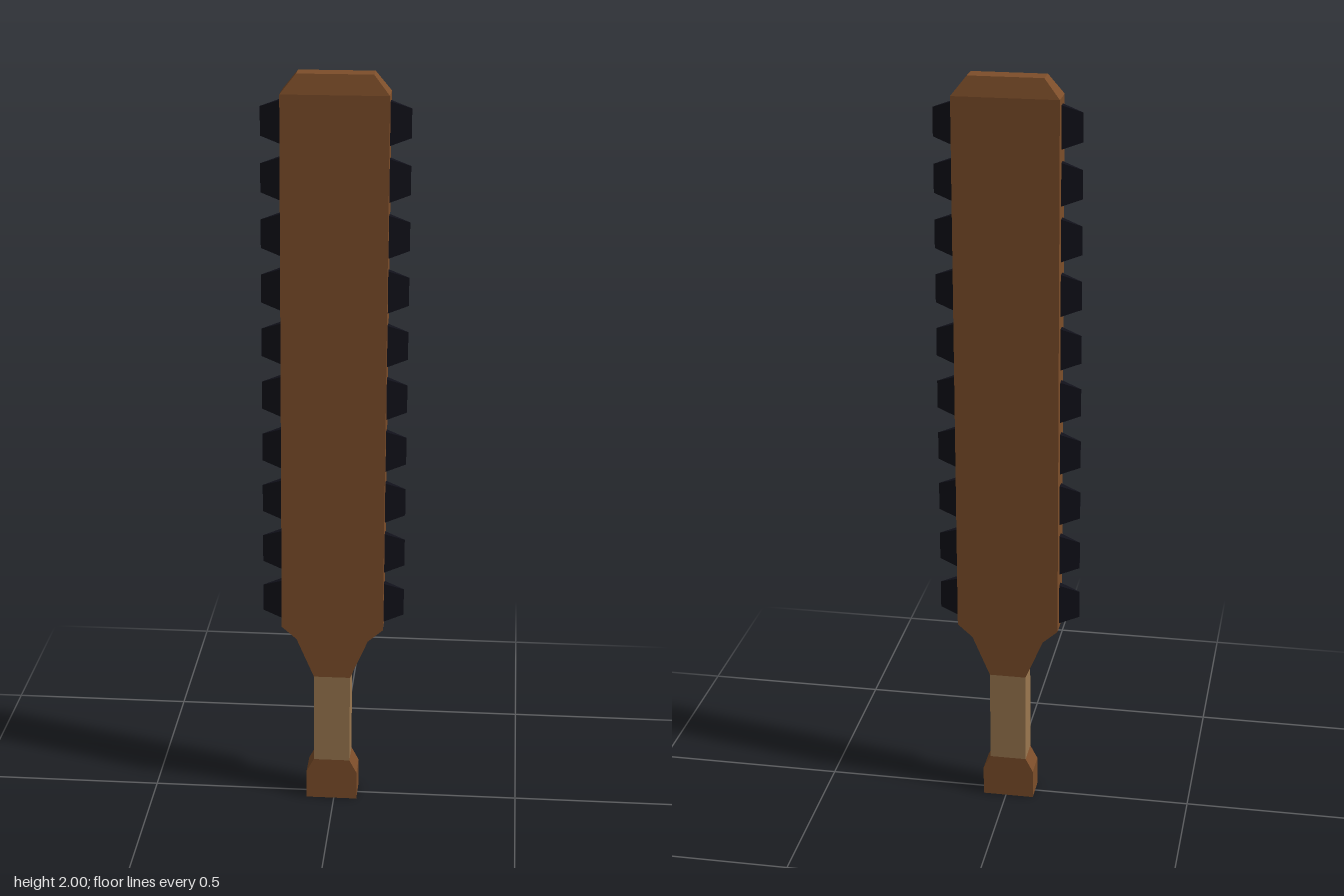
import * as THREE from 'three';

const material = (color) => new THREE.MeshStandardMaterial({ color, flatShading: true });

// Four-sided bar through sections [y, half width, half depth], listed bottom to top
function bar(name, sections, mat) {
  const n = sections.length - 1;
  const geo = new THREE.BoxGeometry(2, n, 2, 1, n, 1);
  const pos = geo.attributes.position;
  for (let i = 0; i < pos.count; i++) {
    const [y, w, d] = sections[Math.round(pos.getY(i) + n / 2)];
    pos.setXYZ(i, pos.getX(i) * w, y, pos.getZ(i) * d);
  }
  geo.computeVertexNormals();
  const mesh = new THREE.Mesh(geo, mat);
  mesh.name = name;
  return mesh;
}

export function createModel() {
  const group = new THREE.Group();
  group.name = 'toothedClub';
  const wood = material(0x7d4e2a);
  const wrap = material(0x9b7850);
  const stone = material(0x11111a);
  const depth = 0.039;

  // Flared pommel, wrapped grip and broad paddle with a bevelled top
  group.add(bar('pommel', [[0, 0.069, depth], [0.08, 0.069, depth], [0.118, 0.049, depth]], wood));
  group.add(bar('grip', [[0.118, 0.049, depth], [0.37, 0.049, depth]], wrap));
  group.add(bar('paddle', [
    [0.37, 0.049, depth], [0.48, 0.096, depth], [0.515, 0.136, depth],
    [1.95, 0.136, depth], [2, 0.096, 0.028],
  ], wood));

  // Wedge-shaped teeth along both edges, narrowing to a thin outer edge
  const teeth = new THREE.Group();
  teeth.name = 'teeth';
  for (const side of [-1, 1]) {
    for (let i = 0; i < 10; i++) {
      const tooth = bar('tooth', [[0.134, 0.056, 0.0115], [0.189, 0.037, 0.0004]], stone);
      tooth.geometry.rotateZ(-side * Math.PI / 2);
      tooth.geometry.translate(0, 0.583 + i * 0.1437, 0);
      teeth.add(tooth);
    }
  }
  group.add(teeth);

  // The whole club leans very slightly sideways
  group.traverse((part) => {
    if (!part.isMesh) return;
    const pos = part.geometry.attributes.position;
    for (let i = 0; i < pos.count; i++) {
      pos.setX(i, pos.getX(i) - 0.0065 + 0.0045 * pos.getY(i));
    }
    part.geometry.computeVertexNormals();
  });
  return group;
}
